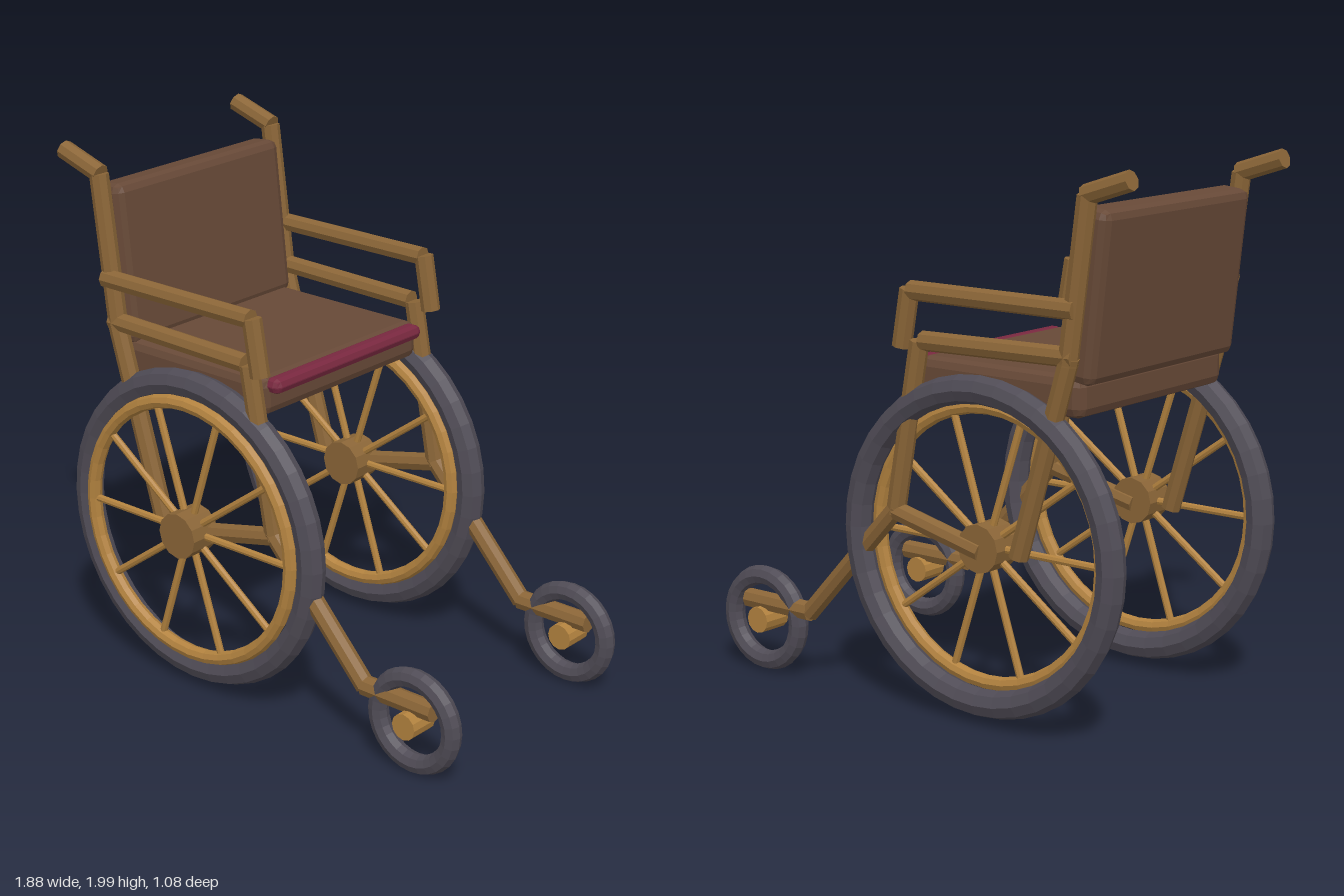
import * as THREE from 'three';
import { RoundedBoxGeometry } from 'three/addons/geometries/RoundedBoxGeometry.js';

const mat = (name, color) => {
  const m = new THREE.MeshStandardMaterial({ color, flatShading: true });
  m.name = name;
  return m;
};

export function createModel() {
  const wood = mat('wood', 0x8a6537);
  const brass = mat('brass', 0xb2823f);
  const leather = mat('leather', 0x674937);
  const trim = mat('red trim', 0x78283f);
  const rubber = mat('rubber', 0x4f4b55);

  const model = new THREE.Group();
  model.name = 'wheelchair';

  const add = (parent, name, geometry, material, x = 0, y = 0, z = 0) => {
    const mesh = new THREE.Mesh(geometry, material);
    mesh.name = name;
    mesh.position.set(x, y, z);
    parent.add(mesh);
    return mesh;
  };

  // Straight round bar between two points in the side plane
  const bar = (parent, name, [x1, y1], [x2, y2], z = 0, r = 0.036, material = wood) => {
    const length = Math.hypot(x2 - x1, y2 - y1);
    const mesh = add(parent, name, new THREE.CylinderGeometry(r, r, length, 8), material,
      (x1 + x2) / 2, (y1 + y2) / 2, z);
    mesh.rotation.z = Math.atan2(y2 - y1, x2 - x1) - Math.PI / 2;
    return mesh;
  };

  // Short cylinder lying along z
  const disc = (parent, name, r, depth, material, z) => {
    const mesh = add(parent, name, new THREE.CylinderGeometry(r, r, depth, 12), material, 0, 0, z);
    mesh.rotation.x = Math.PI / 2;
  };

  const largeWheel = () => {
    const wheel = new THREE.Group();
    wheel.name = 'largeWheel';
    wheel.position.set(-0.298, 0.643, 0);
    add(wheel, 'tyre', new THREE.TorusGeometry(0.56, 0.052, 8, 40), rubber);
    add(wheel, 'rim', new THREE.TorusGeometry(0.495, 0.027, 8, 40), brass, 0, 0, 0.038);
    for (let i = 0; i < 10; i++) {
      const a = (i * Math.PI) / 5;
      bar(wheel, 'spoke', [0, 0], [0.49 * Math.cos(a), 0.49 * Math.sin(a)], 0.038, 0.014, brass);
    }
    disc(wheel, 'hub', 0.088, 0.125, wood, 0.043);
    return wheel;
  };

  const casterWheel = () => {
    const wheel = new THREE.Group();
    wheel.name = 'casterWheel';
    wheel.position.set(0.738, 0.207, 0);
    add(wheel, 'casterTyre', new THREE.TorusGeometry(0.164, 0.037, 8, 28), rubber);
    disc(wheel, 'casterHub', 0.05, 0.115, brass, 0.007);
    return wheel;
  };

  // Frame bars and wheels on each side; the seat centre lies at z = -0.02
  for (const side of [1, -1]) {
    const frame = new THREE.Group();
    frame.name = side > 0 ? 'nearSideFrame' : 'farSideFrame';
    frame.position.z = -0.02 + side * 0.46;
    model.add(frame);

    bar(frame, 'pushHandle', [-0.925, 1.965], [-0.74, 1.905]);
    bar(frame, 'backPost', [-0.748, 1.905], [-0.672, 1.33]);
    bar(frame, 'rearLeg', [-0.68, 1.36], [-0.465, 0.635]);
    bar(frame, 'armrest', [-0.715, 1.523], [0, 1.523], side * 0.016);
    bar(frame, 'armrestSupport', [0.005, 1.528], [0.042, 1.32], side * 0.016);
    bar(frame, 'seatRail', [-0.7, 1.36], [-0.04, 1.347]);
    bar(frame, 'frontPost', [-0.025, 1.345], [0.09, 0.71]);
    bar(frame, 'lowerRail', [-0.3, 0.63], [0.09, 0.72]);
    bar(frame, 'frontLeg', [0.08, 0.735], [0.515, 0.265]);
    bar(frame, 'casterArm', [0.51, 0.27], [0.825, 0.27], 0, 0.038);
    frame.add(largeWheel(), casterWheel());
  }

  // Upholstery
  add(model, 'seat', new RoundedBoxGeometry(0.72, 0.145, 0.86, 1, 0.035), leather, -0.345, 1.213, -0.022);
  add(model, 'seatTrim', new RoundedBoxGeometry(0.075, 0.056, 0.815, 1, 0.026), trim, 0.02, 1.255, -0.024);
  const back = add(model, 'backrest', new RoundedBoxGeometry(0.13, 0.6, 0.87, 1, 0.032), leather, -0.715, 1.56, -0.022);
  back.rotation.z = 0.11;

  return model;
}
